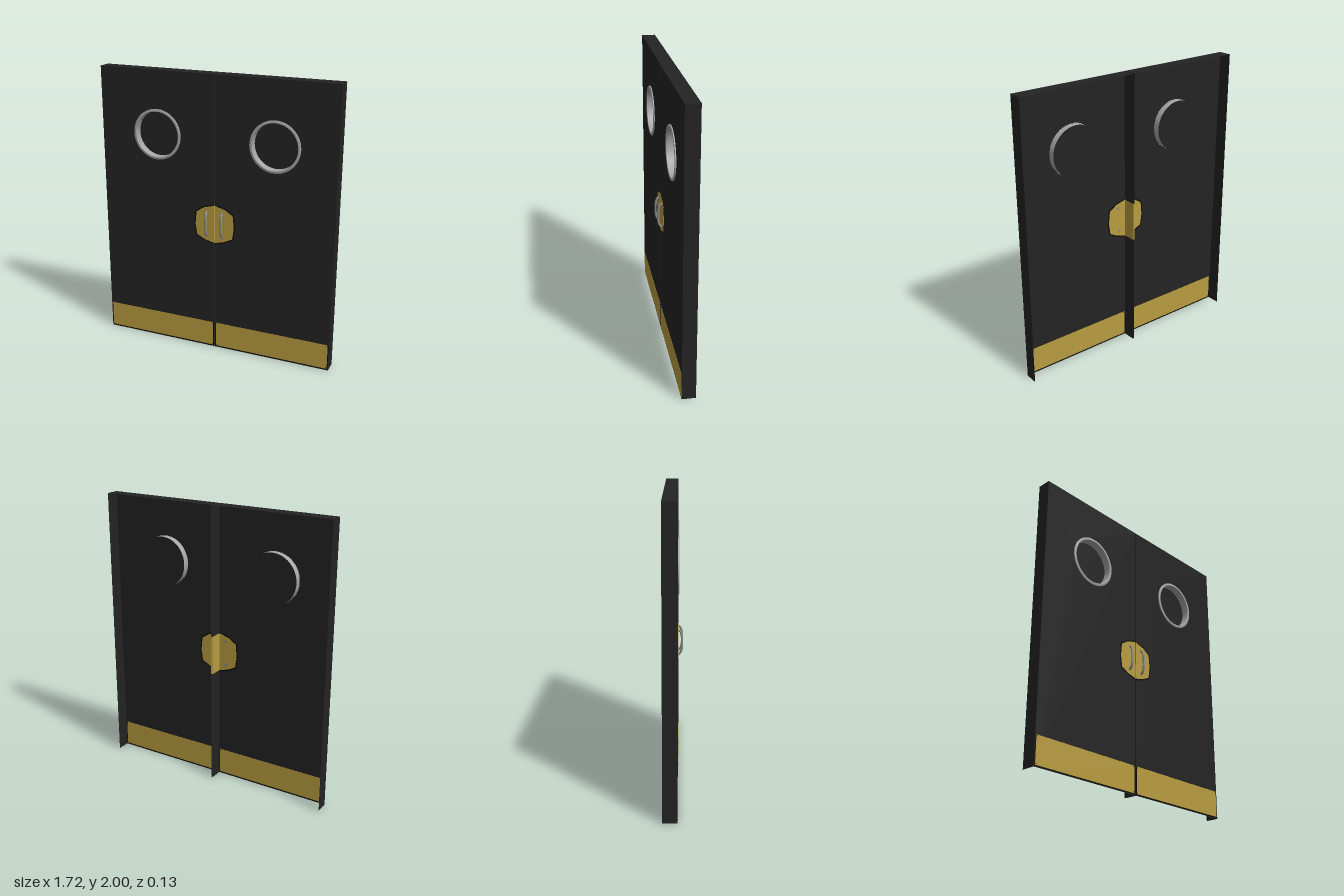
import * as THREE from 'three';
import { toCreasedNormals } from 'three/addons/utils/BufferGeometryUtils.js';

const W = 0.859, GAP = 0.004, H = 2, FRONT = 0.03, BACK = -0.065;
const WIN = { x: 0.43, y: 1.555, r: 0.178 };

function material(name, color) {
  const m = new THREE.MeshStandardMaterial({ color, side: THREE.DoubleSide });
  m.name = name;
  return m;
}

// flat outline from points, mirrored by s
function outline(points, s) {
  return new THREE.Shape(points.map(([x, y]) => new THREE.Vector2(x * s, y)));
}

function rect(x0, x1, y0, y1) {
  return [[x0, y0], [x1, y0], [x1, y1], [x0, y1]];
}

// plate showing on both faces of the sheet
function plate(points, s, thick) {
  const g = new THREE.ExtrudeGeometry(outline(points, s), { depth: thick, bevelEnabled: false });
  return g.translate(0, 0, FRONT - thick / 2);
}

export function createModel() {
  const model = new THREE.Group();
  model.name = 'doubleDoor';
  const dark = material('doorBlack', 0x232323);
  const gold = material('brass', 0xb89c40);
  const trim = material('trimBlack', 0x0d0c08);
  const ringGrey = material('ringSteel', 0xa6a6a6);
  const handleGrey = material('handleSteel', 0x8a8a8c);

  for (const s of [1, -1]) {
    const door = new THREE.Group();
    door.name = s > 0 ? 'leftDoor' : 'rightDoor';
    model.add(door);
    const add = (name, geometry, mat, x = 0, y = 0, z = 0) => {
      const mesh = new THREE.Mesh(geometry, mat);
      mesh.name = name;
      mesh.position.set(x, y, z);
      door.add(mesh);
      return mesh;
    };

    // front sheet with a round window opening
    const sheet = outline(rect(GAP, W, 0, H), s);
    sheet.holes.push(new THREE.Path().absarc(WIN.x * s, WIN.y, WIN.r - 0.006, 0, Math.PI * 2));
    add('frontSheet', new THREE.ShapeGeometry(sheet, 32), dark, 0, 0, FRONT);

    // folded side and top edges; the back and bottom are open
    const depth = FRONT - BACK, midZ = (FRONT + BACK) / 2;
    for (const x of [GAP, W]) {
      add('sideEdge', new THREE.PlaneGeometry(depth, H).rotateY(s * Math.PI / 2), dark, x * s, H / 2, midZ);
    }
    add('topEdge', new THREE.PlaneGeometry(W - GAP, depth).rotateX(-Math.PI / 2), dark, s * (W + GAP) / 2, H, midZ);

    // kick plate with dark border and corner screws
    add('kickBorder', plate(rect(0.006, 0.856, 0.005, 0.197), s, 0.002), trim);
    add('kickPlate', plate(rect(0.011, 0.85, 0.012, 0.196), s, 0.004), gold);
    for (const x of [0.018, 0.843]) {
      for (const y of [0.02, 0.188]) {
        add('kickScrew', new THREE.CylinderGeometry(0.003, 0.003, 0.006, 8).rotateX(Math.PI / 2), trim, x * s, y, FRONT);
      }
    }

    // handle plate with dark border, wrapping onto the meeting edge
    add('handleBorder', plate([[GAP, 0.808], [0.075, 0.826], [0.142, 0.858], [0.155, 0.945],
      [0.146, 1.042], [0.08, 1.082], [GAP, 1.102]], s, 0.002), trim);
    add('handlePlate', plate([[GAP, 0.818], [0.075, 0.836], [0.133, 0.865], [0.145, 0.945],
      [0.136, 1.035], [0.08, 1.072], [GAP, 1.093]], s, 0.004), gold);
    add('handlePlateEdge', new THREE.BoxGeometry(0.003, 0.275, depth), gold, GAP * s, 0.9555, midZ);

    // porthole: lip, recessed wall and dark pane
    const r = WIN.r;
    const profile = [[r - 0.002, -0.015], [r - 0.002, FRONT], [r, FRONT], [r, 0.037], [r - 0.004, 0.039],
      [r - 0.016, 0.039], [r - 0.019, 0.036], [r - 0.019, -0.015]]
      .map(([a, b]) => new THREE.Vector2(a, b));
    const ring = new THREE.LatheGeometry(profile, 48).rotateX(Math.PI / 2);
    add('windowRing', toCreasedNormals(ring, 0.6), ringGrey, WIN.x * s, WIN.y, 0);
    add('windowPane', new THREE.CircleGeometry(r - 0.002, 48), dark, WIN.x * s, WIN.y, -0.015);

    // bent pull handle
    const x = 0.058 * s;
    const path = new THREE.CatmullRomCurve3([
      [0.869, 0.025], [0.869, 0.034], [0.88, 0.046], [0.905, 0.055], [0.955, 0.057],
      [1.005, 0.055], [1.03, 0.046], [1.041, 0.034], [1.041, 0.025],
    ].map(([y, z]) => new THREE.Vector3(x, y, z)));
    add('pullHandle', new THREE.TubeGeometry(path, 40, 0.008, 12), handleGrey);
    for (const y of [0.869, 1.041]) {
      add('handleFoot', new THREE.CylinderGeometry(0.011, 0.011, 0.01, 16).rotateX(Math.PI / 2), handleGrey, x, y, FRONT);
    }
  }
  return model;
}
